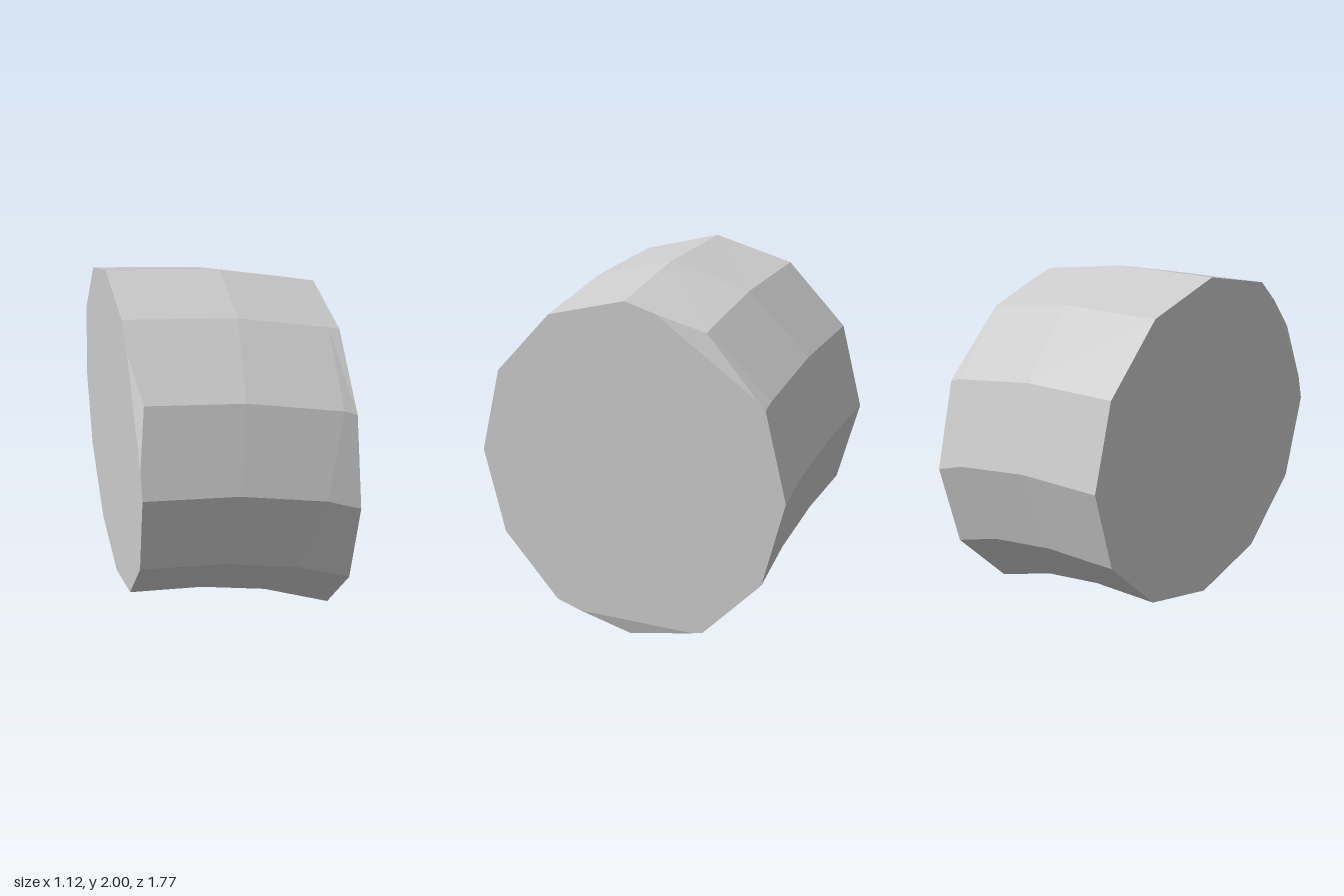
import * as THREE from 'three';

const SIDES = 12, R = 0.886, END = 0.559;

// Ring of corners leaning with the bend; a = 0 is the top, running towards +z
function ring(cx, cy, tilt) {
  return Array.from({ length: SIDES }, (_, j) => {
    const a = j * Math.PI * 2 / SIDES, up = R * Math.cos(a);
    return new THREE.Vector3(cx + up * Math.sin(tilt), cy + up * Math.cos(tilt), R * Math.sin(a));
  });
}

// Upright end outline, with heights given from top to bottom
function endRing(x, heights) {
  return heights.concat(heights.slice(1, -1).reverse()).map((y, j) =>
    new THREE.Vector3(x, y, R * Math.sin(j * Math.PI * 2 / SIDES)));
}

// Chip corners inwards: each chip is [corner, depth, reach to previous, reach to next]
function chipEnd(corners, chips) {
  const extra = corners.map(() => []), triangles = [], outline = [];
  const chipped = new Set(chips.map(c => c[0]));
  const tips = corners.map(p => p.clone());
  for (const [j, depth, back, ahead] of chips) {
    const prev = (j + SIDES - 1) % SIDES, next = (j + 1) % SIDES;
    const p = corners[j].clone().lerp(corners[prev], back);
    const q = corners[j].clone().lerp(corners[next], ahead);
    tips[j].x -= Math.sign(tips[j].x) * depth;
    extra[prev].push(p);
    extra[j].push(q);
    triangles.push([p, tips[j], q]);
  }
  for (let j = 0; j < SIDES; j++) {
    if (!chipped.has(j)) outline.push(tips[j]);
    outline.push(...extra[j]);
  }
  return { tips, extra, triangles, outline };
}

export function createModel() {
  const group = new THREE.Group();
  const pos = [];
  const tri = (a, b, c) => pos.push(...a.toArray(), ...b.toArray(), ...c.toArray());

  const rightCorners = endRing(-END, [2, 1.885, 1.56, 1.115, 0.672, 0.345, 0.23]);
  const leftCorners = endRing(END, [1.862, 1.745, 1.403, 0.937, 0.47, 0.123, 0]);
  const rightEnd = chipEnd(rightCorners, [[2, 0.04, 0.61, 0.69]]);
  const leftEnd = chipEnd(leftCorners, [[6, 0.028, 0.68, 0.86], [11, 0.021, 0.88, 0.62]]);

  // Bent rings; where the second passes the flat end it is held just inside it
  const first = ring(-0.07, 1.083, 0.125);
  const second = ring(0.38, 1.0, 0.25).map((p, j) => p.x < 0.5 ? p :
    first[j].clone().lerp(leftCorners[j], (0.5 - first[j].x) / (END - first[j].x)));

  for (let j = 0; j < SIDES; j++) {
    const k = (j + 1) % SIDES;
    // Middle band
    tri(first[j], first[k], second[j]);
    tri(first[k], second[k], second[j]);
    // Bands running to the two ends
    const l = [leftEnd.tips[k], ...leftEnd.extra[j], leftEnd.tips[j]];
    tri(second[j], second[k], l[0]);
    for (let i = 0; i + 1 < l.length; i++) tri(second[j], l[i], l[i + 1]);
    const r = [rightEnd.tips[j], ...rightEnd.extra[j], rightEnd.tips[k]];
    tri(first[j], r[r.length - 1], first[k]);
    for (let i = 0; i + 1 < r.length; i++) tri(first[j], r[i], r[i + 1]);
  }

  // Flat ends and chipped corners
  for (const [end, x, y] of [[leftEnd, END, 0.93], [rightEnd, -END, 1.115]]) {
    const centre = new THREE.Vector3(x, y, 0);
    const face = (a, b, c) => x > 0 ? tri(a, b, c) : tri(a, c, b);
    end.outline.forEach((p, i) => face(centre, p, end.outline[(i + 1) % end.outline.length]));
    end.triangles.forEach(t => face(...t));
  }

  const geometry = new THREE.BufferGeometry();
  geometry.setAttribute('position', new THREE.Float32BufferAttribute(pos, 3));
  geometry.computeVertexNormals();
  const mesh = new THREE.Mesh(geometry, new THREE.MeshStandardMaterial({ color: 0xcccccc, flatShading: true }));
  mesh.name = 'bentLogSegment';
  group.add(mesh);
  return group;
}
